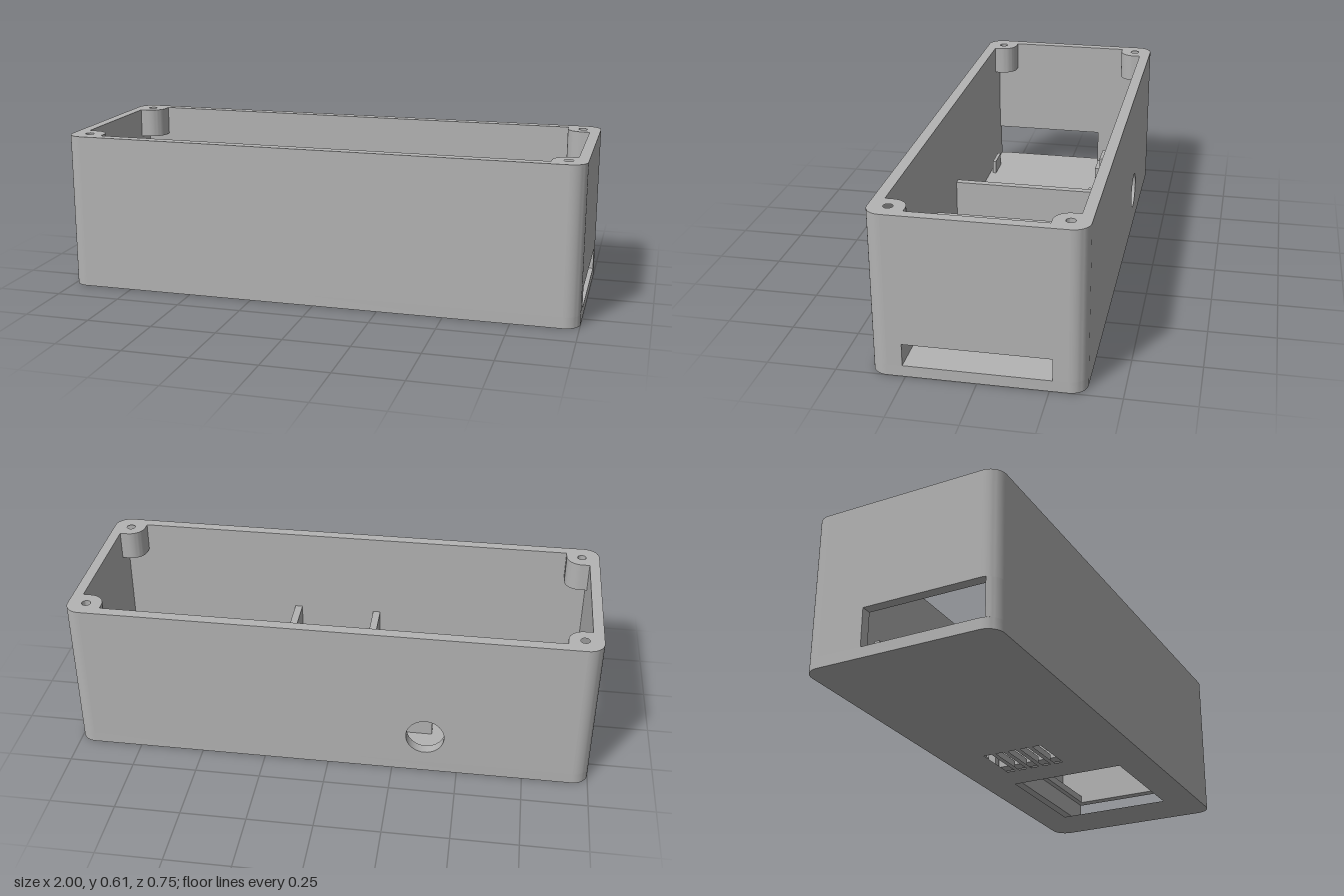
import * as THREE from 'three';
import { toCreasedNormals } from 'three/addons/utils/BufferGeometryUtils.js';

const X = 1, Z = 0.375, H = 0.605;    // outer half sizes and height
const XI = 0.96, ZI = 0.333;          // inner half sizes
const R = 0.06, FLOOR = 0.042;

export function createModel() {
  const group = new THREE.Group();
  const grey = new THREE.MeshStandardMaterial({ color: 0xb3b3b3 });
  grey.name = 'grey plastic';

  const add = (name, geometry) => {
    const mesh = new THREE.Mesh(geometry, grey);
    mesh.name = name;
    group.add(mesh);
    return mesh;
  };
  const vec = (pts) => pts.map(([a, b]) => new THREE.Vector2(a, b));
  const extrude = (pts, holes, depth) => {
    const shape = new THREE.Shape(vec(pts));
    for (const h of holes) shape.holes.push(new THREE.Path(vec(h)));
    return toCreasedNormals(
      new THREE.ExtrudeGeometry(shape, { depth, bevelEnabled: false }), 0.6);
  };
  // upright prism from an (x, z) outline
  const prism = (name, pts, y0, y1, holes = []) => {
    const flip = (list) => list.map(([x, z]) => [x, -z]);
    const g = extrude(flip(pts), holes.map(flip), y1 - y0);
    g.rotateX(-Math.PI / 2);
    g.translate(0, y0, 0);
    return add(name, g);
  };
  const block = (name, x0, x1, y0, y1, z0, z1) => {
    const g = new THREE.BoxGeometry(x1 - x0, y1 - y0, z1 - z0);
    g.translate((x0 + x1) / 2, (y0 + y1) / 2, (z0 + z1) / 2);
    return add(name, g);
  };
  const rect = (x0, x1, z0, z1) => [[x0, z0], [x1, z0], [x1, z1], [x0, z1]];
  const arc = (cx, cz, r, a0, a1, n = 10) => Array.from({ length: n + 1 }, (_, i) => {
    const a = a0 + (a1 - a0) * i / n;
    return [cx + r * Math.cos(a), cz + r * Math.sin(a)];
  });
  const circle = (cx, cz, r, n = 32) => arc(cx, cz, r, 0, Math.PI * 2, n).slice(0, -1);
  const Q = Math.PI / 2;
  const cx = X - R, cz = Z - R;

  // floor with display window and vents
  const outline = [
    ...arc(cx, cz, R, 0, Q), ...arc(-cx, cz, R, Q, 2 * Q),
    ...arc(-cx, -cz, R, 2 * Q, 3 * Q), ...arc(cx, -cz, R, 3 * Q, 4 * Q)];
  const vents = [-0.185, -0.131, -0.077, -0.023, 0.031]
    .map((z) => rect(-0.04, 0.16, z - 0.017, z + 0.017));
  prism('floor', outline, 0, FLOOR, [rect(0.3, 0.78, -0.24, 0.235), ...vents]);

  // long walls, the back one with a round socket hole
  const longWall = rect(-cx, cx, FLOOR, H);
  add('frontWall', extrude(longWall, [], Z - ZI)).position.z = ZI;
  add('backWall', extrude(longWall, [circle(-0.373, 0.16, 0.073, 40)], Z - ZI)).position.z = -Z;

  // end walls, each open just above the floor
  const endWall = (name, pts, x) => {
    const g = extrude(pts.map(([z, y]) => [-z, y]), [], X - XI);
    g.rotateY(Math.PI / 2);
    g.translate(x, 0, 0);
    add(name, g);
  };
  endWall('leftWall', [
    [-cz, FLOOR], [-0.26, FLOOR], [-0.26, 0.125], [0.26, 0.125],
    [0.26, FLOOR], [cz, FLOOR], [cz, H], [-cz, H]], XI);
  endWall('rightWall', [
    [-cz, FLOOR], [-0.14, FLOOR], [-0.14, 0.19], [cz, 0.19], [cz, H], [-cz, H]], -X);

  // rounded corners and screw bosses
  const full = [[XI, cz], ...arc(cx, cz, R, 0, Q), [cx, ZI], [XI, ZI]];
  const cut = [[cx, ZI], ...arc(cx, cz, R, Math.asin((ZI - cz) / R), Q)];
  const boss = [[XI, ZI], [0.87, ZI], ...arc(0.93, 0.305, 0.06, Math.PI, 1.5 * Math.PI, 12), [XI, 0.245]];
  for (const sx of [-1, 1]) for (const sz of [-1, 1]) {
    const mirror = (pts) => pts.map(([x, z]) => [x * sx, z * sz]);
    const isCut = sx < 0 && sz > 0;
    prism('corner', mirror(full), isCut ? 0.19 : FLOOR, H);
    if (isCut) prism('cornerBesideOpening', mirror(cut), FLOOR, 0.19);
    prism('screwBoss', mirror(boss), H - 0.115, H, [mirror(circle(0.93, 0.305, 0.017, 24))]);
  }

  // cross walls
  block('dividerRight', -0.12, -0.09, FLOOR, 0.26, -ZI, ZI);
  block('dividerLeft', 0.215, 0.245, FLOOR, 0.26, -ZI, ZI);

  // display rails with overhanging lips
  for (const s of [-1, 1]) {
    const span = (a, b) => (s > 0 ? [a, b] : [-b, -a]);
    block('displayRail', 0.245, XI, FLOOR, 0.125, ...span(0.26, ZI));
    block('displayRailLip', 0.245, XI, 0.125, 0.155, ...span(0.238, ZI));
  }

  // sensor bay: low ledges, pegs and clips
  block('bayLedge', -0.09, -0.07, FLOOR, 0.08, -0.31, 0.3);
  block('bayLedge', 0.195, 0.215, FLOOR, 0.08, -0.31, 0.3);
  block('bayLedge', -0.07, 0.195, FLOOR, 0.08, -0.31, -0.295);
  for (const x of [-0.05, 0.165]) for (const z of [-0.27, 0.262])
    block('bayPeg', x - 0.016, x + 0.016, FLOOR, 0.09, z - 0.016, z + 0.016);
  block('bayClip', -0.07, -0.02, FLOOR, 0.12, 0.288, 0.303);
  block('bayClip', 0.14, 0.195, FLOOR, 0.12, 0.288, 0.303);

  // circuit board clips
  for (const x of [-0.835, -0.39]) {
    block('boardClip', x, x + 0.105, FLOOR, 0.15, -0.2, -0.18);
    block('boardClipStep', x, x + 0.105, FLOOR, 0.1, -0.18, -0.16);
    block('boardClipFront', x, x + 0.105, FLOOR, 0.1, 0.306, 0.32);
  }

  // socket brackets beside the round hole
  for (const s of [-1, 1]) {
    const c = -0.375;
    const span = (a, b) => (s > 0 ? [c + a, c + b] : [c - b, c - a]);
    const [x0, x1] = span(0.112, 0.133), [h0, h1] = span(0.098, 0.112);
    block('socketBracket', x0, x1, FLOOR, 0.3, -ZI, -0.245);
    block('socketBracketHook', h0, h1, FLOOR, 0.3, -0.258, -0.245);
  }

  return group;
}
